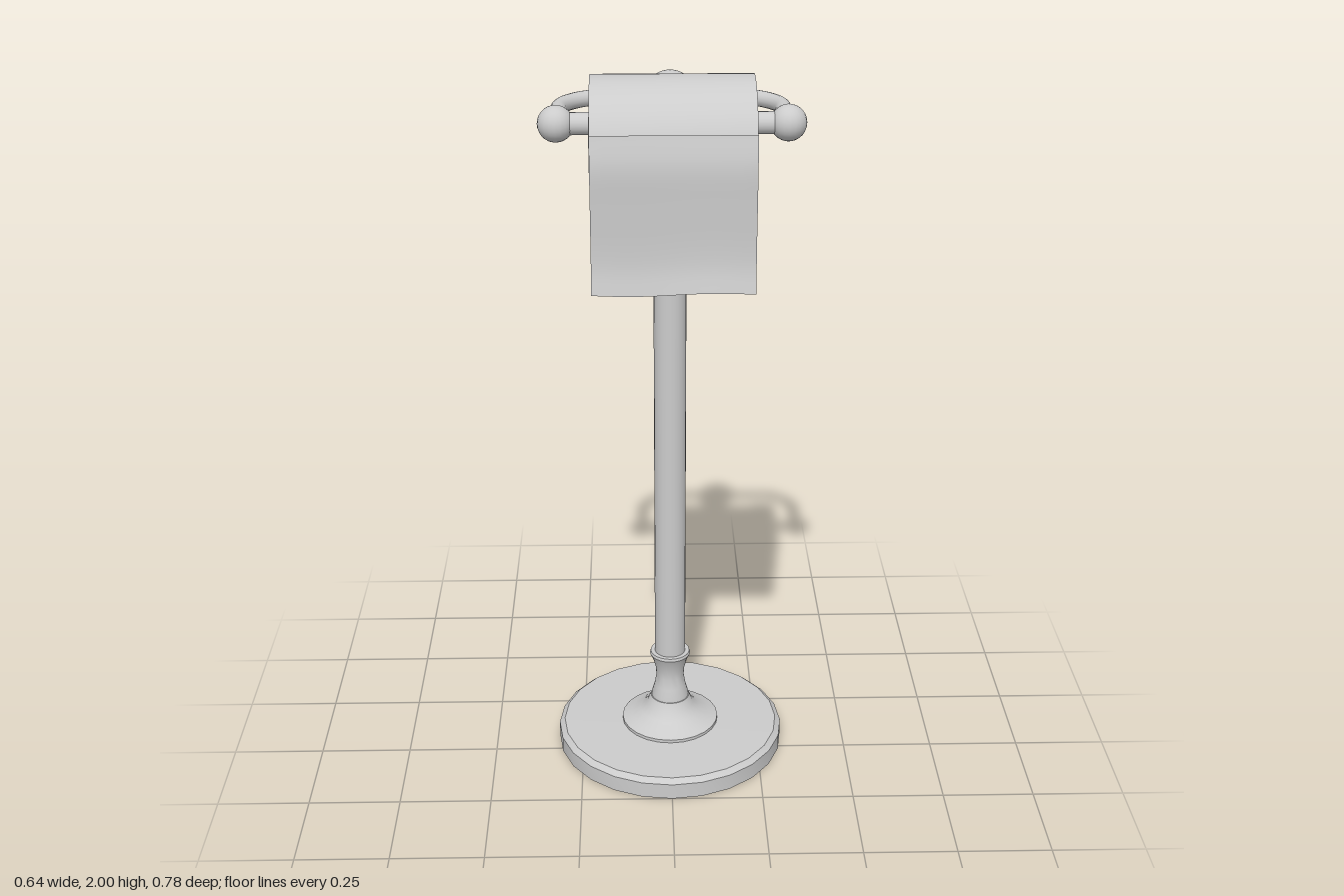
import * as THREE from 'three';
import { toCreasedNormals } from 'three/addons/utils/BufferGeometryUtils.js';

const POST_Z = -0.07, ROD_Y = 1.885, ROD_Z = 0.19;
const ROLL_Y = 1.825, ROLL_Z = 0.195, ROLL_R = 0.175;

export function createModel() {
  const model = new THREE.Group();
  const grey = new THREE.MeshStandardMaterial({ color: 0xcccccc });
  const thin = new THREE.MeshStandardMaterial({ color: 0xcccccc, side: THREE.DoubleSide });

  function add(name, geometry, x, y, z, material = grey) {
    const mesh = new THREE.Mesh(geometry, material);
    mesh.name = name;
    mesh.position.set(x, y, z);
    model.add(mesh);
    return mesh;
  }
  const lathe = (points, segments = 24) => toCreasedNormals(
    new THREE.LatheGeometry(points.map(([r, y]) => new THREE.Vector2(r, y)), segments), 0.6);

  // Round base plate with a bevelled rim, and the flared foot on it
  add('base', lathe([[0, 0], [0.32, 0], [0.32, 0.045], [0.305, 0.058], [0, 0.06]]), 0, 0, POST_Z);
  add('foot', lathe([[0.137, 0.055], [0.137, 0.068], [0.112, 0.078], [0.085, 0.094],
    [0.066, 0.113], [0.055, 0.138], [0, 0.138]]), 0, 0, POST_Z);

  // Waisted collars at both ends of the post
  const collar = [[0, 0], [0.053, 0], [0.052, 0.012], [0.044, 0.04], [0.039, 0.07],
    [0.041, 0.095], [0.049, 0.125], [0.057, 0.142], [0.055, 0.15], [0, 0.15]];
  add('lowerCollar', lathe(collar), 0, 0.135, POST_Z);
  add('upperCollar', lathe(collar.map(([r, y]) => [r, 0.15 - y]).reverse()), 0, 1.683, POST_Z);
  add('post', new THREE.CylinderGeometry(0.043, 0.043, 1.46, 24), 0, 0.98, POST_Z);
  add('postBall', new THREE.SphereGeometry(0.066, 24, 16), 0, ROD_Y, POST_Z);

  // U-shaped arm, bending forward at both sides
  const v = (x, z) => new THREE.Vector3(x, ROD_Y, z);
  const half = 0.274, bend = 0.12;
  const arm = new THREE.CurvePath();
  const corner = (s) => new THREE.CubicBezierCurve3(
    v(s * half, POST_Z + bend), v(s * half, POST_Z + bend * 0.45),
    v(s * (half - bend * 0.55), POST_Z), v(s * (half - bend), POST_Z));
  const left = corner(-1), right = corner(1);
  arm.add(new THREE.LineCurve3(v(-half, ROD_Z), left.v0));
  arm.add(left);
  arm.add(new THREE.LineCurve3(left.v3, right.v3));
  arm.add(new THREE.CubicBezierCurve3(right.v3, right.v2, right.v1, right.v0));
  arm.add(new THREE.LineCurve3(right.v0, v(half, ROD_Z)));
  add('arm', new THREE.TubeGeometry(arm, 64, 0.02, 16), 0, 0, 0);

  // Rod with a ball on each end
  for (const s of [-1, 1]) {
    add(s > 0 ? 'leftEndBall' : 'rightEndBall',
      new THREE.SphereGeometry(0.044, 20, 14), s * 0.276, ROD_Y, ROD_Z);
  }
  add('rod', new THREE.CylinderGeometry(0.027, 0.027, 0.54, 20), 0, ROD_Y, ROD_Z)
    .rotation.z = Math.PI / 2;

  // Paper roll and its slightly longer core, both hollow
  const ring = (inner, outer, h) => lathe(
    [[inner, -h], [outer, -h], [outer, h], [inner, h], [inner, -h]], 48);
  add('paperRoll', ring(0.092, ROLL_R, 0.194), 0, ROLL_Y, ROLL_Z).rotation.z = Math.PI / 2;
  add('core', ring(0.089, 0.093, 0.197), 0, ROLL_Y, ROLL_Z).rotation.z = Math.PI / 2;

  // Loose sheet leaving the front of the roll, with a gently uneven lower edge
  const drop = new THREE.CatmullRomCurve3([
    [1.9, 0.357], [1.83, 0.373], [1.74, 0.373], [1.64, 0.372], [1.58, 0.376], [1.525, 0.388],
  ].map(([y, z]) => new THREE.Vector3(0, y, z)));
  const sheet = new THREE.PlaneGeometry(0.388, 1, 12, 20);
  const pos = sheet.attributes.position;
  for (let i = 0; i < pos.count; i++) {
    const t = 0.5 - pos.getY(i), x = pos.getX(i);
    const p = drop.getPoint(t);
    const wave = 0.004 * Math.sin(x * 16) * t * t;
    pos.setXYZ(i, x, p.y + wave, p.z + wave * 0.5);
  }
  sheet.computeVertexNormals();
  add('looseSheet', sheet, 0, 0, 0, thin);

  return model;
}
